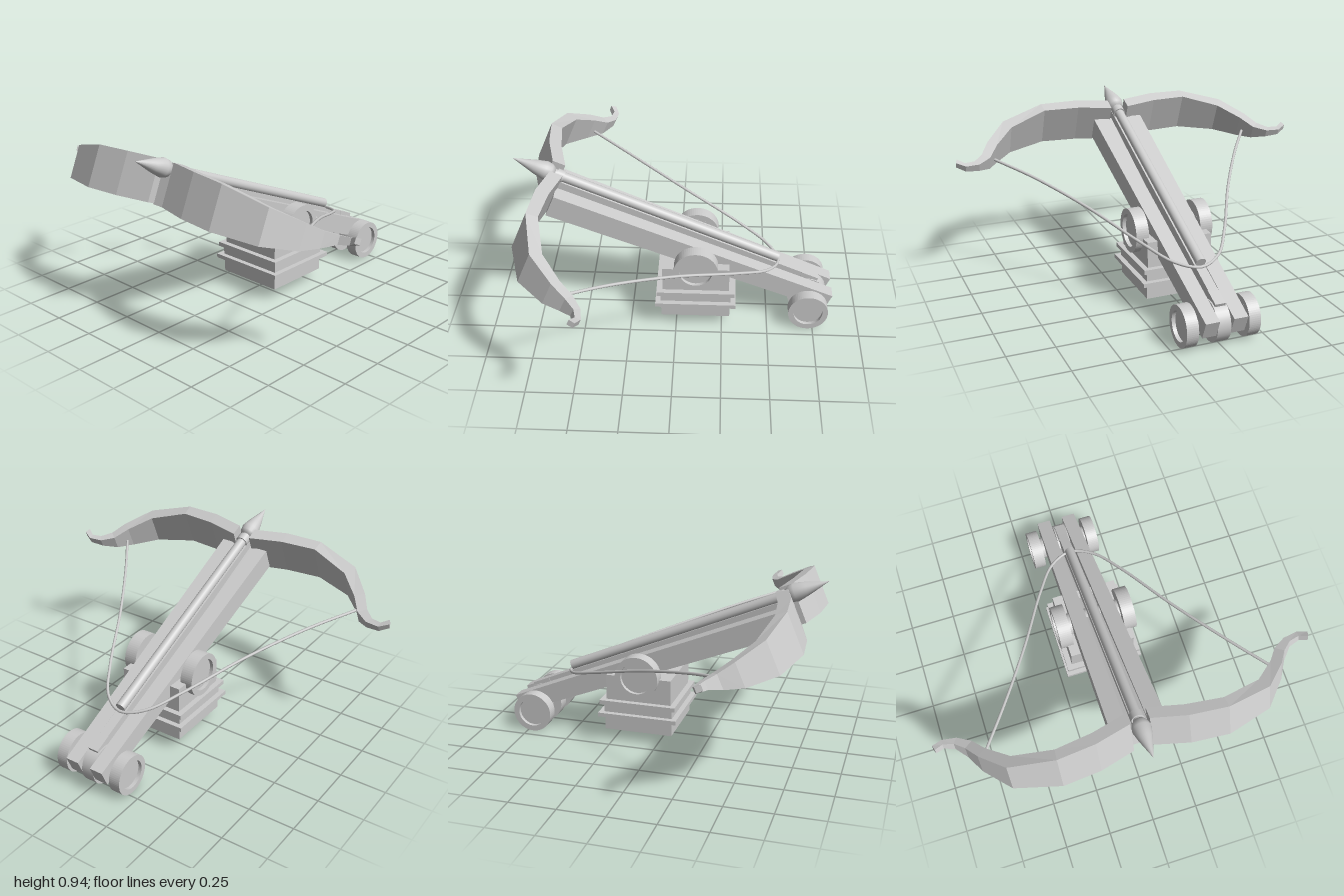
import * as THREE from 'three';

const grey = new THREE.MeshStandardMaterial({ color: 0xcccccc });
const faceted = new THREE.MeshStandardMaterial({ color: 0xcccccc, flatShading: true });

function add(parent, name, geometry, material = grey) {
  const mesh = new THREE.Mesh(geometry, material);
  mesh.name = name;
  parent.add(mesh);
  return mesh;
}

// Box spanning two end sections along z; each section is [z, x0, x1, y0, y1]
function taperedBeam(back, front) {
  const g = new THREE.BoxGeometry(1, 1, 1);
  const p = g.attributes.position;
  for (let i = 0; i < p.count; i++) {
    const s = p.getZ(i) > 0 ? front : back;
    p.setXYZ(i, p.getX(i) > 0 ? s[2] : s[1], p.getY(i) > 0 ? s[4] : s[3], s[0]);
  }
  g.computeVertexNormals();
  return g;
}

// Wheel with a raised rim and a recessed outer face, axis along x
function addWheel(parent, name, side, x0, x1, y, z, radius, inner) {
  const wheel = new THREE.Group();
  wheel.name = name;
  const ring = new THREE.Shape().absarc(0, 0, radius, 0, Math.PI * 2, false);
  ring.holes.push(new THREE.Path().absarc(0, 0, inner, 0, Math.PI * 2, true));
  const rim = new THREE.ExtrudeGeometry(ring, { depth: x1 - x0, bevelEnabled: false, curveSegments: 32 });
  rim.translate(0, 0, -(x1 - x0) / 2).rotateY(Math.PI / 2);
  add(wheel, 'rim', rim);
  const disc = new THREE.CylinderGeometry(inner, inner, x1 - x0 - 0.02, 32);
  disc.rotateZ(Math.PI / 2).translate(-side * 0.01, 0, 0);
  add(wheel, 'hub', disc);
  wheel.position.set(side * (x0 + x1) / 2, y, z);
  parent.add(wheel);
}

// Bow limb lofted from sections: [inner x, inner z, outer x, outer z, bottom, top]
function limbGeometry(side) {
  const sections = [
    [0.05, 0.83, 0.05, 0.9, -0.05, 0.172],
    [0.235, 0.875, 0.235, 0.945, -0.065, 0.162],
    [0.43, 0.895, 0.435, 0.958, -0.074, 0.15],
    [0.64, 0.825, 0.675, 0.885, -0.07, 0.11],
    [0.75, 0.715, 0.795, 0.75, -0.045, 0.085],
    [0.805, 0.635, 0.845, 0.668, -0.01, 0.07],
    [0.875, 0.588, 0.895, 0.62, 0.025, 0.07],
    [0.95, 0.578, 0.95, 0.608, 0.04, 0.075],
    [1.0, 0.605, 0.99, 0.635, 0.055, 0.085],
  ];
  const pos = [], index = [];
  for (const [ix, iz, ox, oz, b, t] of sections) {
    pos.push(side * ix, b, iz, side * ox, b, oz, side * ox, t, oz, side * ix, t, iz);
  }
  const quad = (a, b, c, d) => side > 0 ? index.push(a, b, c, a, c, d) : index.push(a, c, b, a, d, c);
  for (let i = 0; i < sections.length - 1; i++) {
    for (let j = 0; j < 4; j++) {
      const k = (j + 1) % 4, r = i * 4;
      quad(r + j, r + 4 + j, r + 4 + k, r + k);
    }
  }
  const e = pos.length / 3 - 4;
  quad(0, 1, 2, 3);
  quad(e + 3, e + 2, e + 1, e);
  const g = new THREE.BufferGeometry();
  g.setAttribute('position', new THREE.Float32BufferAttribute(pos, 3));
  g.setIndex(index);
  g.computeVertexNormals();
  return g;
}

export function createModel() {
  const model = new THREE.Group();
  model.name = 'mountedCrossbow';
  const pivotY = 0.386, pivotZ = -0.105;

  // Stepped square pedestal: [half width, bottom, top]
  const base = new THREE.Group();
  base.name = 'pedestal';
  model.add(base);
  [
    ['foot', 0.187, 0.065, 0.145], ['lowerPlate', 0.218, 0.145, 0.167], ['neck', 0.19, 0.167, 0.215],
    ['upperPlate', 0.21, 0.215, 0.238], ['head', 0.18, 0.238, 0.377],
  ].forEach(([name, h, y0, y1]) => {
    add(base, name, new THREE.BoxGeometry(h * 2, y1 - y0, h * 2)).position.set(0, (y0 + y1) / 2, pivotZ);
  });

  // Everything above the pedestal tilts about the pivot
  const weapon = new THREE.Group();
  weapon.name = 'tiltedCrossbow';
  weapon.position.set(0, pivotY, pivotZ);
  weapon.rotation.x = -THREE.MathUtils.degToRad(23);
  model.add(weapon);

  // Stock: two side beams, a centre beam and a rail for the bolt
  for (const s of [1, -1]) {
    const span = (a, b) => s > 0 ? [a, b] : [-b, -a];
    const beam = taperedBeam(
      [-0.776, ...span(0.038, 0.113), -0.01, 0.09],
      [0.84, ...span(0.052, 0.143), -0.035, 0.09]);
    add(weapon, 'stockSide', beam);
    add(weapon, 'bowLimb', limbGeometry(s), faceted);
    addWheel(weapon, 'pivotWheel', s, 0.147, 0.217, 0, 0, 0.118, 0.087);
    addWheel(weapon, 'rearWheel', s, 0.135, 0.198, -0.014, -0.674, 0.108, 0.078);
  }
  add(weapon, 'stockCentre', taperedBeam(
    [-0.6, -0.042, 0.042, -0.008, 0.03], [0.86, -0.055, 0.055, -0.055, 0.075]));
  add(weapon, 'boltRail', taperedBeam(
    [-0.6, -0.026, 0.026, 0.02, 0.11], [0.88, -0.03, 0.03, 0.06, 0.115]));

  // Axles, rear roller and trigger block
  const crossBar = (name, r, length, y, z) =>
    add(weapon, name, new THREE.CylinderGeometry(r, r, length, 32).rotateZ(Math.PI / 2)).position.set(0, y, z);
  crossBar('pivotAxle', 0.06, 0.32, 0, 0);
  crossBar('rearAxle', 0.06, 0.29, -0.014, -0.674);
  crossBar('rearRoller', 0.108, 0.072, -0.014, -0.674);
  add(weapon, 'triggerBlock', new THREE.BoxGeometry(0.056, 0.05, 0.1)).position.set(0, 0.085, -0.635);

  // Bolt with a pointed head
  const bolt = new THREE.Group();
  bolt.name = 'bolt';
  bolt.position.y = 0.134;
  weapon.add(bolt);
  add(bolt, 'shaft', new THREE.CylinderGeometry(0.027, 0.027, 1.31, 20).rotateX(Math.PI / 2)).position.z = 0.23;
  const collar = new THREE.CylinderGeometry(0.034, 0.034, 0.04, 20);
  add(bolt, 'collar', collar.rotateX(Math.PI / 2)).position.z = 0.84;
  const profile = [[0, 0.868], [0.03, 0.87], [0.044, 0.89], [0.05, 0.92], [0.036, 0.98], [0, 1.1]];
  const head = new THREE.LatheGeometry(profile.map(([r, h]) => new THREE.Vector2(r, h)), 24);
  add(bolt, 'boltHead', head.rotateX(Math.PI / 2));

  // Drawn bowstring
  const half = [[0.765, 0.005, 0.69], [0.6, 0.045, 0.45], [0.41, 0.08, 0.135], [0.235, 0.105, -0.2], [0.12, 0.113, -0.375]];
  const points = [
    ...half.map(([x, y, z]) => new THREE.Vector3(-x, y, z)),
    new THREE.Vector3(0, 0.115, -0.437),
    ...half.map(([x, y, z]) => new THREE.Vector3(x, y, z)).reverse(),
  ];
  add(weapon, 'bowstring', new THREE.TubeGeometry(new THREE.CatmullRomCurve3(points), 80, 0.008, 8));

  return model;
}
